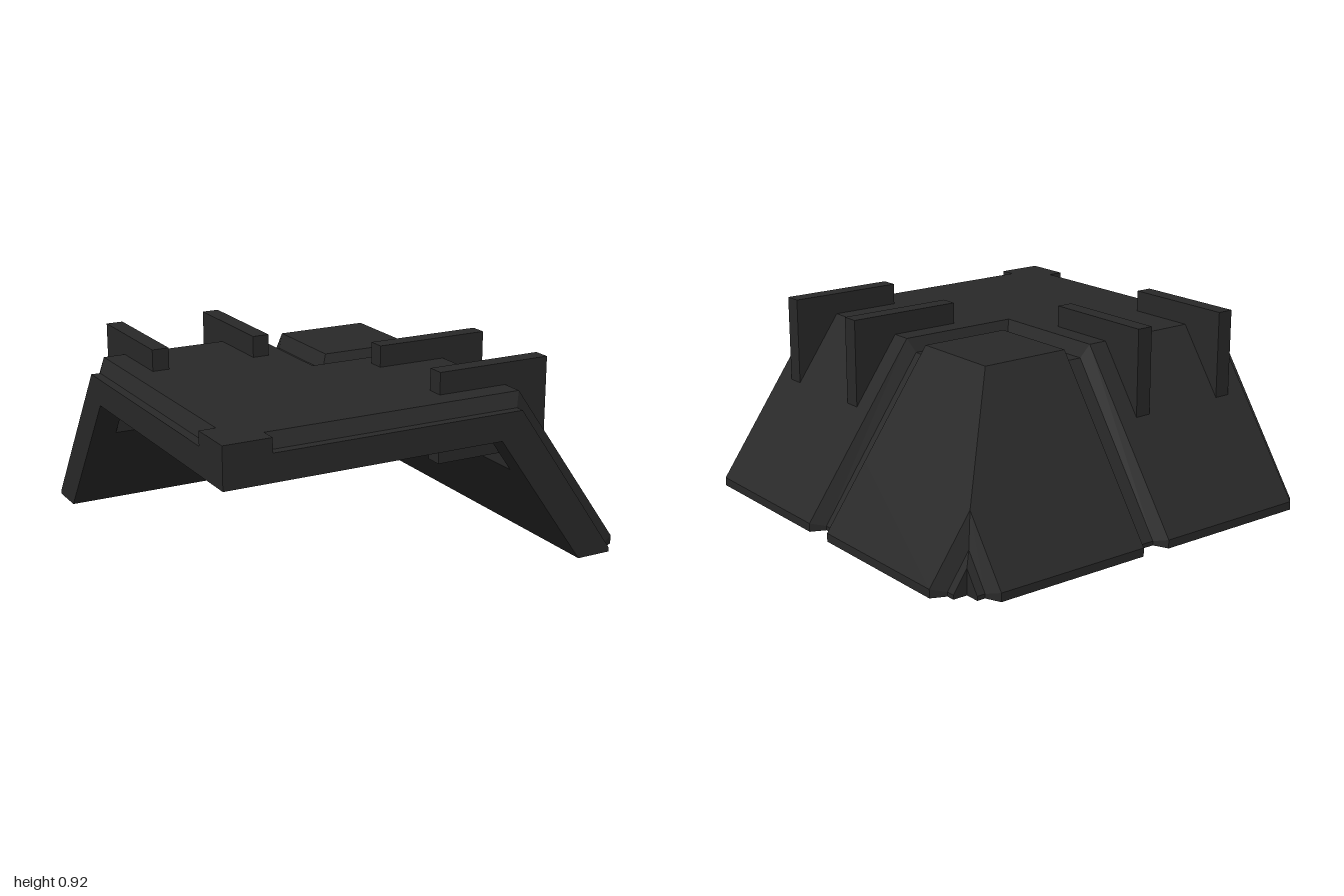
import * as THREE from 'three';

// Cross-section columns [distance from centre, height], from plateau down to the eave
const slabTop = [[-1, 0.75], [-0.88, 0.75], [0.42, 0.75], [0.45, 0.707], [0.76, 0.264], [0.86, 0.12], [0.93, 0.02]];
const slabUnder = [[-1, 0.625], [-0.88, 0.625], [0.32, 0.625], [0.45, 0.44], [0.76, 0], [0.86, 0], [0.93, 0]];
const pocketUnder = [[-1, 0.625], [-0.88, 0.625], [0.45, 0.625], [0.45, 0.44], [0.76, 0], [0.86, 0], [0.93, 0]];
const outerTop = [[-0.78, 0.815], [-0.143, 0.815], [0.45, 0.815], [1, 0.04], [1, 0]];
const outerFoot = [[-0.78, 0.75], [-0.113, 0.75], [0.42, 0.75], [0.93, 0.02], [0.93, 0]];
const cornerTop = [[0.006, 0.815], [0.45, 0.815], [0.79, 0.336], [1, 0.04], [1, 0]];
const cornerFoot = [[-0.024, 0.75], [0.42, 0.75], [0.82, 0.178], [0.93, 0.02], [0.93, 0]];
const ribTop = [[0.33, 0.626], [0.451, 0.626]];
const ribUnder = [[0.33, 0.624], [0.451, 0.458]];

// Loft along z through sections [columns, z]; every section stops at the diagonal mitre z = -x
function wing(sections, under) {
  const place = (cols, s) => cols.map(([d, y]) => new THREE.Vector3(d, y, Math.max(s, -d)));
  const pos = [];
  const tri = (a, b, c) => {
    const area = b.clone().sub(a).cross(c.clone().sub(a)).length();
    if (area > 1e-7) for (const p of [a, b, c]) pos.push(p.x, p.y, p.z);
  };
  const quad = (a, b, c, d) => { tri(a, b, c); tri(a, c, d); };
  const rings = sections.map(([cols, s]) => [...place(cols, s), ...place(under, s).reverse()]);
  const n = rings[0].length;
  for (let r = 0; r + 1 < rings.length; r++) {
    for (let i = 0; i < n; i++) {
      const j = (i + 1) % n;
      quad(rings[r][i], rings[r][j], rings[r + 1][j], rings[r + 1][i]);
    }
  }
  const first = rings[0], last = rings[rings.length - 1];
  for (let i = 0; i + 1 < n / 2; i++) {
    const k = n - 1 - i;
    quad(first[k], first[k - 1], first[i + 1], first[i]);
    quad(last[i], last[i + 1], last[k - 1], last[k]);
  }
  const geo = new THREE.BufferGeometry();
  geo.setAttribute('position', new THREE.Float32BufferAttribute(pos, 3));
  geo.computeVertexNormals();
  return geo;
}

function box(x0, x1, y0, y1, z0, z1) {
  return new THREE.BoxGeometry(x1 - x0, y1 - y0, z1 - z0)
    .translate((x0 + x1) / 2, (y0 + y1) / 2, (z0 + z1) / 2);
}

// Mirror across the diagonal: (x, z) becomes (-z, -x), with corner order reversed
function mirrored(source) {
  const src = source.index ? source.toNonIndexed() : source;
  const p = src.attributes.position, pos = [];
  for (let i = 0; i < p.count; i += 3) {
    for (const k of [i, i + 2, i + 1]) pos.push(-p.getZ(k), p.getY(k), -p.getX(k));
  }
  const geo = new THREE.BufferGeometry();
  geo.setAttribute('position', new THREE.Float32BufferAttribute(pos, 3));
  geo.computeVertexNormals();
  return geo;
}

export function createModel() {
  const model = new THREE.Group();
  model.name = 'cornerRoof';
  const charcoal = new THREE.MeshStandardMaterial({ color: 0x292929 });
  charcoal.name = 'charcoal';

  const add = (name, geo) => {
    const mesh = new THREE.Mesh(geo, charcoal);
    mesh.name = name;
    model.add(mesh);
  };
  const addPair = (name, geo) => {
    add(name + 'Side', geo);
    add(name + 'Back', mirrored(geo));
  };

  // Structural slab: solid end strip, then a run with a pocket cut under the fold
  addPair('slabEnd', wing([[slabTop, 1], [slabTop, 0.88]], slabUnder));
  addPair('slabPocketed', wing([[slabTop, 0.88], [slabTop, -0.86]], pocketUnder));

  // Ribs bridging the pocket
  for (const s of [0.425, -0.228]) addPair('pocketRib', wing([[ribTop, s], [ribTop, s - 0.06]], ribUnder));

  // Raised armour panels with bevelled borders, separated by a groove
  addPair('outerPanel', wing(
    [[outerFoot, 0.957], [outerTop, 0.924], [outerTop, 0.143], [outerFoot, 0.113]], outerFoot));
  addPair('cornerPanel', wing(
    [[cornerFoot, 0.024], [cornerTop, -0.006], [cornerTop, -0.79], [cornerFoot, -0.82]], cornerFoot));
  add('plateauEndBlock', box(-1, -0.78, 0.75, 0.815, 0.78, 1));

  // Upright fins on both wings
  for (const z of [0.237, 0.74]) addPair('fin', box(0.113, 0.67, 0.503, 0.915, z, z + 0.08));

  return model;
}
